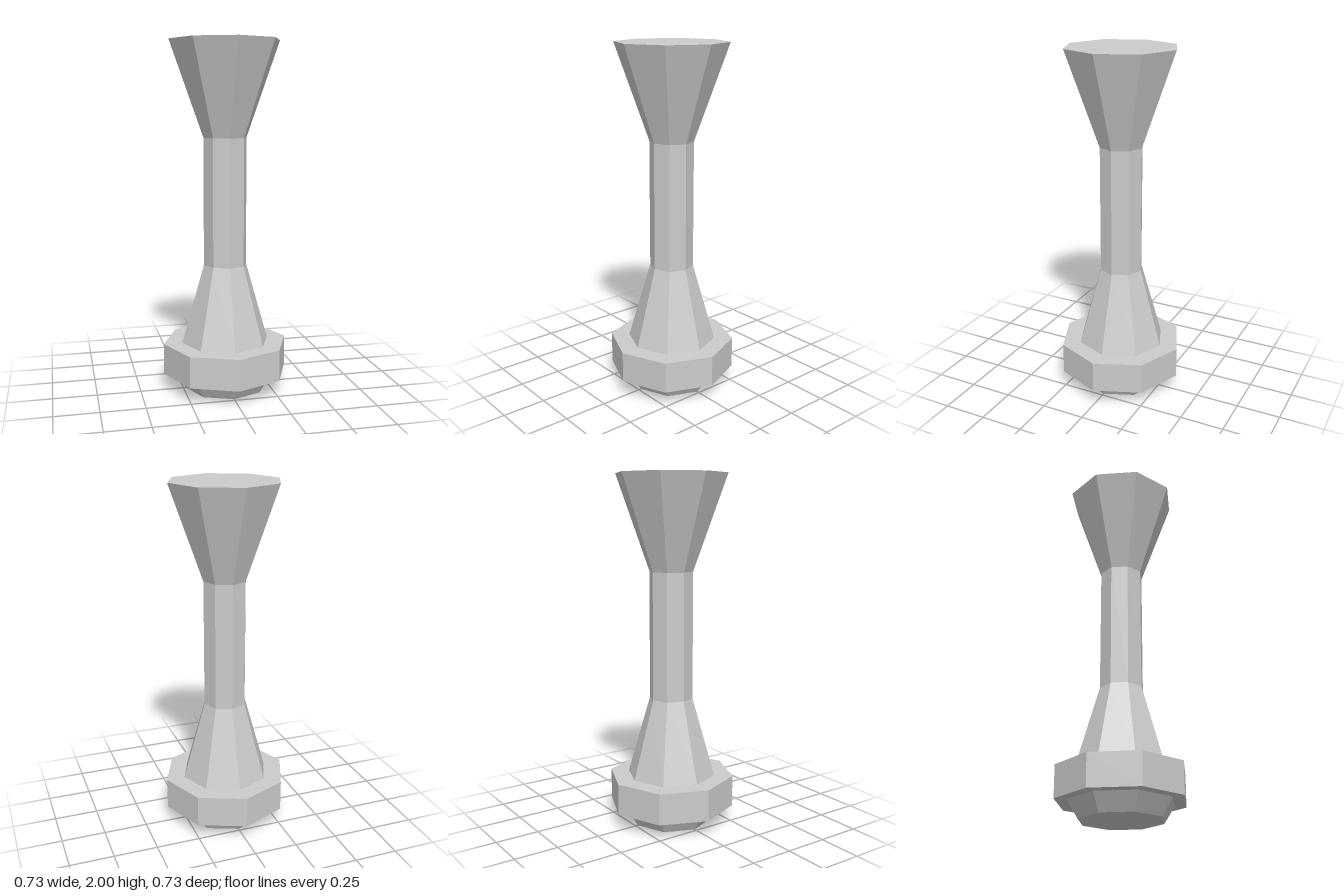
import * as THREE from 'three';

const SIDES = 8;

export function createModel() {
  const group = new THREE.Group();
  const material = new THREE.MeshStandardMaterial({ color: 0xcccccc, flatShading: true });

  // Each part is an eight-sided turned section: [radius, height] from bottom to top
  const parts = {
    foot: [[0, 0], [0.235, 0], [0.295, 0.095]],
    collar: [[0.295, 0.095], [0.363, 0.095], [0.363, 0.275], [0.255, 0.275]],
    lowerTaper: [[0.255, 0.275], [0.125, 0.73]],
    shaft: [[0.125, 0.73], [0.125, 1.46]],
    flaredTop: [[0.125, 1.46], [0.317, 2], [0, 2]],
  };

  for (const [name, profile] of Object.entries(parts)) {
    const points = profile.map(([r, y]) => new THREE.Vector2(r, y));
    const mesh = new THREE.Mesh(new THREE.LatheGeometry(points, SIDES), material);
    mesh.name = name;
    group.add(mesh);
  }
  return group;
}
